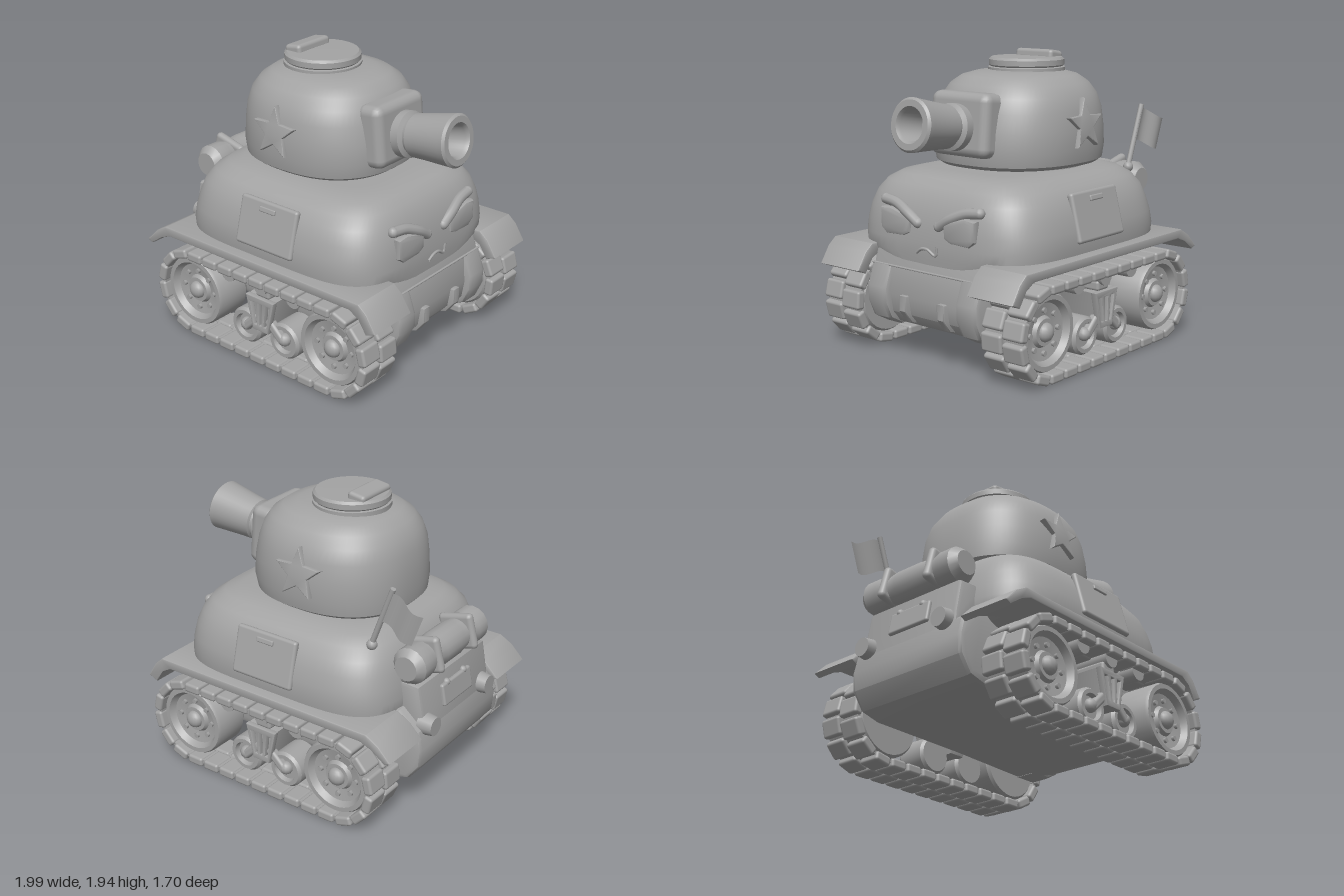
import * as THREE from 'three';
import { toCreasedNormals } from 'three/addons/utils/BufferGeometryUtils.js';
import { RoundedBoxGeometry } from 'three/addons/geometries/RoundedBoxGeometry.js';

const grey = new THREE.MeshStandardMaterial({ color: 0xa3a3a3, side: THREE.DoubleSide });
grey.name = 'grey';

const V2 = (p) => p.map(([x, y]) => new THREE.Vector2(x, y));
const V3 = (p) => p.map((a) => new THREE.Vector3(...a));

function add(parent, name, geo, x = 0, y = 0, z = 0) {
  const m = new THREE.Mesh(geo, grey);
  m.name = name;
  m.position.set(x, y, z);
  parent.add(m);
  return m;
}

function group(parent, name, x = 0, y = 0, z = 0) {
  const g = new THREE.Group();
  g.name = name;
  g.position.set(x, y, z);
  parent.add(g);
  return g;
}

const rbox = (w, h, d, r = 0.02) => new RoundedBoxGeometry(w, h, d, 2, r);

// Extruded outline, centred on z, total thickness d including the bevel
function slab(pts, d, bevel = 0.01, crease = 0.6) {
  const shape = pts instanceof THREE.Shape ? pts : new THREE.Shape(V2(pts));
  const g = new THREE.ExtrudeGeometry(shape, {
    depth: d - 2 * bevel, bevelEnabled: bevel > 0, bevelSize: bevel, bevelThickness: bevel,
    bevelOffset: -bevel, bevelSegments: 2, curveSegments: 8,
  });
  g.translate(0, 0, -d / 2 + bevel);
  return toCreasedNormals(g, crease);
}

// Lathe with its axis along z
const turned = (pts, seg = 32) =>
  toCreasedNormals(new THREE.LatheGeometry(V2(pts), seg).rotateX(Math.PI / 2), 0.6);

// Stacked superellipse rings: [y, xMin, xMax, halfZ], closed at both ends
function loft(rings, power, seg = 72) {
  const pos = [], idx = [];
  const sp = (v) => Math.sign(v) * Math.abs(v) ** (2 / power);
  const first = rings[0], last = rings[rings.length - 1];
  const mid = (r) => [r[0], (r[1] + r[2]) / 2 - 0.001, (r[1] + r[2]) / 2 + 0.001, 0.001];
  const all = [mid(first), ...rings, mid(last)];
  for (const [y, x0, x1, hz] of all) {
    for (let i = 0; i < seg; i++) {
      const a = (i / seg) * Math.PI * 2;
      pos.push((x0 + x1) / 2 + ((x1 - x0) / 2) * sp(Math.cos(a)), y, hz * sp(Math.sin(a)));
    }
  }
  for (let j = 0; j < all.length - 1; j++) {
    for (let i = 0; i < seg; i++) {
      const a = j * seg + i, b = j * seg + ((i + 1) % seg);
      idx.push(a, a + seg, b, b, a + seg, b + seg);
    }
  }
  const g = new THREE.BufferGeometry();
  g.setAttribute('position', new THREE.Float32BufferAttribute(pos, 3));
  g.setIndex(idx);
  return toCreasedNormals(g, 0.7);
}

// Point and heading along the track loop at fraction t
function trackPoint(t, half, r) {
  const arc = Math.PI * r, line = 2 * half, total = 2 * (arc + line);
  let s = (t % 1) * total, flip = 1;
  if (s >= total / 2) { s -= total / 2; flip = -1; }
  const turn = flip < 0 ? Math.PI : 0;
  if (s < line) return [flip * (-half + s), -flip * r, turn];
  const a = (s - line) / r;
  return [flip * (half + r * Math.sin(a)), -flip * r * Math.cos(a), turn + a];
}

function buildRunningGear(side) {
  // Track pads in two staggered columns over a thin belt
  const track = group(side, 'track', 0, 0.31, 0.69);
  const half = 0.59, count = 30, pad = rbox(0.122, 0.064, 0.16, 0.018);
  for (let c = 0; c < 2; c++) {
    for (let i = 0; i < count; i++) {
      const [x, y, a] = trackPoint((i + c * 0.3) / count, half, 0.277);
      add(track, 'trackPad', pad, x, y, c ? 0.082 : -0.082).rotation.z = a;
    }
  }
  const belt = new THREE.Shape(), hole = new THREE.Path();
  for (const [s, r] of [[belt, 0.28], [hole, 0.255]]) {
    s.absarc(half, 0, r, -Math.PI / 2, Math.PI / 2);
    s.absarc(-half, 0, r, Math.PI / 2, Math.PI * 1.5);
  }
  belt.holes.push(hole);
  add(track, 'trackBelt', slab(belt, 0.29, 0));

  // Large end wheels with bolts
  const wheelGeo = turned([[0, -0.13], [0.23, -0.13], [0.245, -0.11], [0.245, 0.11], [0.235, 0.13],
    [0.205, 0.13], [0.18, 0.09], [0.1, 0.075], [0.085, 0.1], [0, 0.1]]);
  const bolt = new THREE.CylinderGeometry(0.018, 0.018, 0.03, 6).rotateX(Math.PI / 2);
  for (const x of [-half, half]) {
    const w = group(side, 'endWheel', x, 0.315, 0.68);
    add(w, 'wheelDisc', wheelGeo);
    add(w, 'hub', new THREE.SphereGeometry(0.06, 16, 10).scale(1, 1, 0.8), 0, 0, 0.1);
    for (let i = 0; i < 8; i++) {
      const a = (i / 8) * Math.PI * 2;
      add(w, 'bolt', bolt, 0.135 * Math.cos(a), 0.135 * Math.sin(a), 0.085);
    }
  }

  // Small road wheels hung from a slotted bracket
  const road = turned([[0, -0.12], [0.11, -0.12], [0.125, -0.1], [0.125, 0.08], [0.11, 0.1],
    [0.085, 0.1], [0.075, 0.07], [0, 0.07]], 24);
  for (const s of [-1, 1]) {
    add(side, 'roadWheel', road, s * 0.165, 0.19, 0.67);
    add(side, 'roadHub', new THREE.SphereGeometry(0.045, 12, 8), s * 0.165, 0.2, 0.75);
    add(side, 'swingArm', rbox(0.19, 0.06, 0.06, 0.02), s * 0.105, 0.245, 0.76).rotation.z = -s * 0.75;
  }
  const bracket = new THREE.Shape(V2([[-0.12, 0.46], [-0.065, 0.22], [0.065, 0.22], [0.12, 0.46]]));
  for (const s of [-1, 0, 1]) {
    bracket.holes.push(new THREE.Path(V2([[s * 0.065 - 0.017, 0.42], [s * 0.065 + 0.017, 0.42],
      [s * 0.04 + 0.01, 0.26], [s * 0.04 - 0.01, 0.26]])));
  }
  add(side, 'bracketFront', slab(bracket, 0.04, 0.006), 0, 0, 0.785);
  add(side, 'bracketBody', slab([[-0.115, 0.46], [-0.06, 0.22], [0.06, 0.22], [0.115, 0.46]], 0.26), 0, 0, 0.64);
  add(side, 'bracketCap', rbox(0.12, 0.07, 0.24, 0.02), 0, 0.49, 0.66);
  const roller = new THREE.CylinderGeometry(0.06, 0.06, 0.24, 16).rotateX(Math.PI / 2);
  for (const x of [-0.28, 0, 0.28]) add(side, 'returnRoller', roller, x, 0.55, 0.68);
}

function buildHull(model) {
  add(model, 'upperHull', loft([[0.6, -0.76, 0.84, 0.48], [0.7, -0.78, 0.85, 0.745], [0.78, -0.78, 0.85, 0.755],
    [0.87, -0.765, 0.84, 0.745], [0.96, -0.745, 0.825, 0.72], [1.05, -0.715, 0.79, 0.685],
    [1.12, -0.665, 0.745, 0.625], [1.165, -0.6, 0.68, 0.55], [1.187, -0.52, 0.59, 0.46], [1.19, -0.45, 0.5, 0.38]], 4.6));
  add(model, 'lowerHull', slab([[-0.78, 0.72], [-0.92, 0.6], [-0.95, 0.48], [-0.94, 0.36], [-0.86, 0.25], [-0.72, 0.215],
    [0, 0.21], [0.68, 0.19], [0.79, 0.22], [0.86, 0.3], [0.88, 0.42], [0.86, 0.6], [0.82, 0.72]], 0.94, 0.03));
  // Nose blocks and tow bars
  const nose = [[0.6, 0.19], [0.76, 0.19], [0.87, 0.25], [0.92, 0.36], [0.92, 0.46], [0.87, 0.6], [0.6, 0.6]];
  for (const s of [-1, 1]) {
    add(model, 'noseBlock', slab(nose, 0.18, 0.03), 0, 0, s * 0.385);
    add(model, 'towBar', slab([[0.7, 0.2], [0.85, 0.25], [0.91, 0.33], [0.91, 0.43], [0.7, 0.43]], 0.065), 0, 0, s * 0.165);
    // Fenders with drooping ends
    add(model, 'fender', slab([[-0.78, 0.72], [-0.87, 0.67], [-0.96, 0.58], [-0.92, 0.56], [-0.82, 0.63], [-0.74, 0.66],
      [0.8, 0.66], [0.87, 0.62], [0.93, 0.53], [1, 0.56], [0.93, 0.67], [0.87, 0.72]], 0.36, 0.01), 0, 0, s * 0.645);
    // Side doors
    const pivot = group(model, 'sideDoor', 0.06, 0.945, 0);
    pivot.rotation.y = s < 0 ? Math.PI : 0;
    const door = group(pivot, 'doorPanel', 0, 0, 0.72);
    door.rotation.x = -0.25;
    add(door, 'doorPlate', rbox(0.47, 0.32, 0.045, 0.02));
    add(door, 'doorHandle', rbox(0.13, 0.035, 0.03, 0.008), 0, 0.105, 0.02);
  }
  add(model, 'noseSeam', rbox(0.03, 0.012, 0.94, 0.005), 0.855, 0.6, 0);
}

function buildFace(model) {
  const face = group(model, 'face');
  for (const s of [-1, 1]) {
    // Eye plate with a slanted upper lid, turned to face +x
    const eye = [[-0.13, 0.04], [-0.125, -0.06], [-0.07, -0.085], [0.08, -0.09], [0.13, -0.05], [0.135, 0.08], [0.05, 0.09]]
      .map(([x, y]) => [x * s, y]);
    const e = add(face, 'eye', slab(s < 0 ? eye.reverse() : eye, 0.07, 0.025), 0.825, 0.89, -s * -0.27);
    e.rotation.y = Math.PI / 2;
    e.scale.x = 1;
    e.geometry.rotateY(0).scale(-1, 1, -1);
    const brow = new THREE.CatmullRomCurve3(V3([[0.83, 0.9, s * 0.09], [0.83, 0.955, s * 0.18],
      [0.81, 1.0, s * 0.29], [0.8, 1.015, s * 0.4]]));
    add(face, 'brow', new THREE.TubeGeometry(brow, 16, 0.035, 10));
    for (const t of [0, 1]) add(face, 'browTip', new THREE.SphereGeometry(0.035, 12, 8), ...brow.getPoint(t).toArray());
  }
  const mouth = new THREE.CatmullRomCurve3(V3([[0.85, 0.715, 0.085], [0.855, 0.745, 0.04], [0.855, 0.747, -0.01],
    [0.85, 0.715, -0.075], [0.85, 0.77, -0.09]]));
  add(face, 'mouth', new THREE.TubeGeometry(mouth, 24, 0.01, 8));
}

function buildTurret(model) {
  const turret = group(model, 'turret', 0, 0, -0.015);
  add(turret, 'turretRing', new THREE.CylinderGeometry(0.41, 0.41, 0.06, 40), -0.07, 1.2, 0);
  add(turret, 'turretShell', loft([[1.21, -0.55, 0.47, 0.47], [1.235, -0.575, 0.505, 0.505], [1.32, -0.582, 0.52, 0.52],
    [1.45, -0.575, 0.51, 0.515], [1.57, -0.56, 0.485, 0.5], [1.66, -0.53, 0.455, 0.47], [1.73, -0.48, 0.41, 0.42],
    [1.78, -0.41, 0.34, 0.35], [1.805, -0.32, 0.25, 0.26], [1.81, -0.24, 0.16, 0.18]], 2.4));
  // Hatch and periscope
  add(turret, 'hatch', toCreasedNormals(new THREE.LatheGeometry(V2([[0.255, 1.77], [0.255, 1.825], [0.24, 1.83],
    [0.25, 1.84], [0.25, 1.875], [0.235, 1.89], [0, 1.892]]), 40), 0.5), -0.105, 0, 0);
  add(turret, 'periscope', rbox(0.13, 0.07, 0.31, 0.025), -0.235, 1.895, 0).rotation.z = 0.15;
  // Raised star on each cheek
  const star = Array.from({ length: 10 }, (_, i) => {
    const a = Math.PI / 2 + (i * Math.PI) / 5, r = i % 2 ? 0.077 : 0.175;
    return [r * Math.cos(a), r * Math.sin(a)];
  });
  for (const a of [0, Math.PI]) {
    const pivot = group(turret, 'starMount', -0.065, 1.48, 0);
    pivot.rotation.y = a;
    add(pivot, 'star', slab(star, 0.06, 0.008), 0, 0, 0.505).rotation.x = -0.13;
  }
  // Mantlet and stubby gun
  add(turret, 'mantlet', rbox(0.19, 0.41, 0.49, 0.06), 0.475, 1.495, 0.015).rotation.z = 0.09;
  const gun = new THREE.LatheGeometry(V2([[0.12, 0], [0.15, 0.03], [0.15, 0.085], [0.12, 0.1], [0.125, 0.12], [0.14, 0.13],
    [0.145, 0.2], [0.165, 0.39], [0.17, 0.43], [0.155, 0.445], [0.115, 0.445], [0.1, 0.42], [0.09, 0.24], [0, 0.24]]), 32);
  add(turret, 'gun', toCreasedNormals(gun, 0.6), 0.545, 1.48, 0.015).rotation.z = -Math.PI / 2 + 0.13;
}

function buildRear(model) {
  // Stowage box, tail lamps and strapped bedroll
  add(model, 'rearBox', slab([[-0.7, 0.5], [-0.93, 0.5], [-0.92, 0.66], [-0.88, 0.88], [-0.7, 0.89]], 0.8, 0.025));
  add(model, 'rearPlate', rbox(0.04, 0.15, 0.34, 0.015), -0.91, 0.73, 0).rotation.z = -0.18;
  for (const s of [-1, 1]) {
    const z = s * 0.33 - 0.02;
    const lamp = new THREE.CylinderGeometry(0.062, 0.075, 0.1, 18).rotateZ(Math.PI / 2);
    add(model, 'tailLamp', lamp, -0.935, 0.62, z);
    add(model, 'rivet', new THREE.SphereGeometry(0.025, 10, 8), -0.9, 0.8, s * 0.1);
    add(model, 'bedrollStrap', rbox(0.25, 0.24, 0.06, 0.05), -0.82, 1.03, s * 0.2 - 0.04).rotation.z = -0.25;
  }
  add(model, 'bedroll', turned([[0, -0.42], [0.08, -0.42], [0.12, -0.37], [0.12, -0.27], [0.1, -0.2], [0.115, -0.1],
    [0.115, 0.1], [0.1, 0.2], [0.12, 0.27], [0.12, 0.37], [0.08, 0.42], [0, 0.42]], 16), -0.82, 1.02, -0.04);
  add(model, 'bedrollCradle', rbox(0.16, 0.2, 0.72, 0.04), -0.75, 0.97, -0.04);

  // Waving pennant on a raked pole
  const flag = group(model, 'flag', -0.6, 1.15, -0.5);
  add(flag, 'pole', new THREE.CylinderGeometry(0.018, 0.018, 0.45, 10), -0.07, 0.19, 0).rotation.z = 0.35;
  add(flag, 'poleFoot', new THREE.SphereGeometry(0.035, 12, 8), 0, -0.01, 0);
  const cloth = new THREE.PlaneGeometry(0.26, 0.22, 12, 4);
  const p = cloth.attributes.position;
  for (let i = 0; i < p.count; i++) {
    const u = p.getX(i) / 0.26;
    p.setZ(i, 0.02 * Math.sin(u * 6));
    p.setY(i, p.getY(i) + 0.01 * Math.sin(u * 6));
  }
  cloth.computeVertexNormals();
  add(flag, 'cloth', cloth, -0.215, 0.23, -0.02).rotation.z = 0.35;
}

export function createModel() {
  const model = new THREE.Group();
  model.name = 'cartoonTank';
  buildHull(model);
  buildFace(model);
  buildTurret(model);
  buildRear(model);
  for (const a of [0, Math.PI]) {
    const side = group(model, a ? 'rightRunningGear' : 'leftRunningGear', 0.05, 0, 0);
    side.rotation.y = a;
    buildRunningGear(side);
  }
  return model;
}
